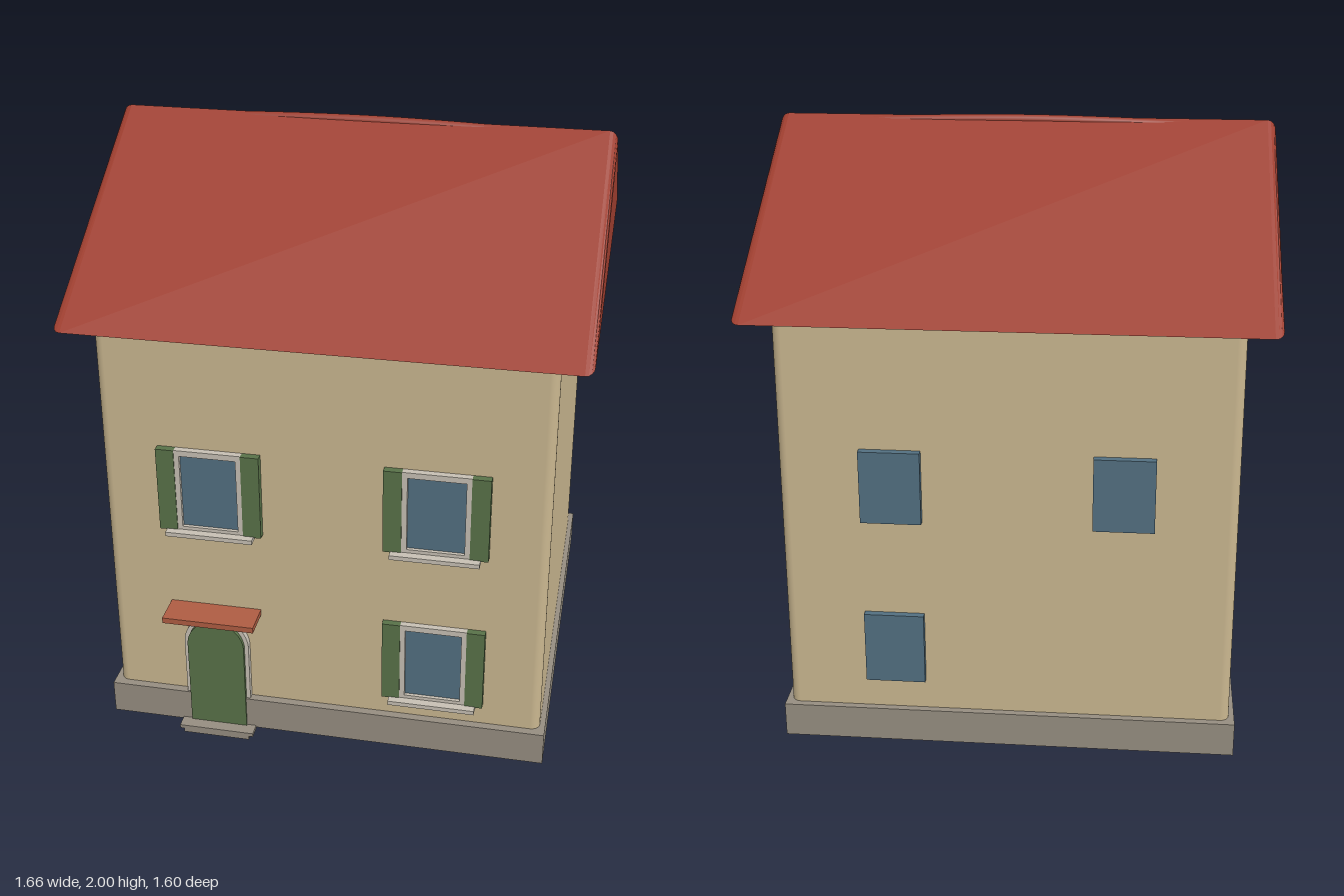
import * as THREE from 'three';
import { RoundedBoxGeometry } from 'three/addons/geometries/RoundedBoxGeometry.js';

const paint = (color) => new THREE.MeshStandardMaterial({ color });
const MAT = {
  wall: paint(0xc9b68f), roof: paint(0x9e3e2f), stone: paint(0x958d80), trim: paint(0xc6bfb3),
  green: paint(0x587148), glass: paint(0x526f80), canopy: paint(0xae5c42),
};

function add(parent, name, geometry, material, x = 0, y = 0, z = 0) {
  const mesh = new THREE.Mesh(geometry, material);
  mesh.name = name;
  mesh.position.set(x, y, z);
  parent.add(mesh);
  return mesh;
}

// Box given by its minimum and maximum on each axis
function box(parent, name, material, [x0, x1], [y0, y1], [z0, z1]) {
  return add(parent, name, new THREE.BoxGeometry(x1 - x0, y1 - y0, z1 - z0), material,
    (x0 + x1) / 2, (y0 + y1) / 2, (z0 + z1) / 2);
}

function rect(path, x0, y0, x1, y1) {
  path.moveTo(x0, y0).lineTo(x1, y0).lineTo(x1, y1).lineTo(x0, y1).closePath();
  return path;
}

// Round-headed outline standing on y = y0
function arch(path, halfWidth, y0, top) {
  path.moveTo(-halfWidth, y0).lineTo(halfWidth, y0).lineTo(halfWidth, top - halfWidth);
  path.absarc(0, top - halfWidth, halfWidth, 0, Math.PI, false);
  path.closePath();
  return path;
}

const extrude = (shape, depth) =>
  new THREE.ExtrudeGeometry(shape, { depth, bevelEnabled: false, curveSegments: 16 });

// Front window with frame, glass, sill and a pair of shutters; origin at its bottom centre
function frontWindow(x, y) {
  const g = new THREE.Group();
  g.name = 'frontWindow';
  g.position.set(x, y, 0);
  const frame = rect(new THREE.Shape(), -0.11, 0, 0.11, 0.295);
  frame.holes.push(rect(new THREE.Path(), -0.093, 0.015, 0.093, 0.275));
  add(g, 'windowFrame', extrude(frame, 0.035), MAT.trim, 0, 0, 0.677);
  box(g, 'windowGlass', MAT.glass, [-0.1, 0.1], [0.008, 0.285], [0.675, 0.7]);
  box(g, 'windowSill', MAT.trim, [-0.145, 0.145], [-0.012, 0.003], [0.67, 0.74]);
  for (const s of [-1, 1]) {
    const shutter = box(g, 'shutter', MAT.green, [-0.03, 0.03], [0, 0.295], [0.68, 0.715]);
    shutter.position.x = s * 0.14;
  }
  return g;
}

export function createModel() {
  const house = new THREE.Group();
  house.name = 'house';

  // Walls: softened block that narrows slightly upward
  const walls = new RoundedBoxGeometry(1.464, 1.48, 1.4, 4, 0.03);
  const p = walls.attributes.position;
  for (let i = 0; i < p.count; i++) {
    const k = 1 - 0.006 * (p.getY(i) / 1.48 + 0.5);
    p.setXYZ(i, p.getX(i) * k, p.getY(i), p.getZ(i) * k);
  }
  add(house, 'walls', walls, MAT.wall, 0, 0.762, -0.008);

  // Plinth: band around the foot of the walls
  const band = rect(new THREE.Shape(), -0.75, -0.725, 0.75, 0.725);
  band.holes.push(rect(new THREE.Path(), -0.715, -0.685, 0.715, 0.685));
  const plinth = add(house, 'plinth', extrude(band, 0.117), MAT.stone, 0, 0.02, -0.006);
  plinth.geometry.rotateX(-Math.PI / 2);

  // Roof: gabled prism along x with softened ends
  const gable = new THREE.Shape();
  gable.moveTo(-0.787, 1.495).lineTo(0.787, 1.495).lineTo(0, 1.993).closePath();
  const roof = new THREE.ExtrudeGeometry(gable, {
    depth: 1.6, bevelThickness: 0.028, bevelSize: 0.03, bevelOffset: -0.03, bevelSegments: 4,
  });
  roof.translate(0, 0, -0.8).rotateY(Math.PI / 2);
  add(house, 'roof', roof, MAT.roof, 0, 0, -0.012);

  // Ridge cap: slightly arched rod that fades into the ridge
  const ridge = new THREE.CatmullRomCurve3([
    new THREE.Vector3(-0.75, 1.965, -0.014),
    new THREE.Vector3(0, 1.983, -0.014),
    new THREE.Vector3(0.75, 1.965, -0.014),
  ]);
  add(house, 'ridgeCap', new THREE.TubeGeometry(ridge, 24, 0.017, 12), MAT.roof);

  // Windows at the front
  for (const [x, y] of [[-0.37, 0.79], [0.37, 0.79], [0.37, 0.215]]) house.add(frontWindow(x, y));

  // Plain windows at the back
  for (const [x, y] of [[-0.37, 0.82], [0.37, 0.82], [0.37, 0.245]]) {
    box(house, 'backWindow', MAT.glass, [x - 0.098, x + 0.098], [y, y + 0.245], [-0.73, -0.69]);
  }

  // Arched door with surround, canopy and doorstep
  const door = new THREE.Group();
  door.name = 'door';
  door.position.x = -0.37;
  const surround = arch(new THREE.Shape(), 0.112, 0.025, 0.457);
  surround.holes.push(arch(new THREE.Path(), 0.094, 0.026, 0.439));
  add(door, 'doorFrame', extrude(surround, 0.037), MAT.trim, 0, 0, 0.675);
  add(door, 'doorPanel', extrude(arch(new THREE.Shape(), 0.098, 0.024, 0.443), 0.05), MAT.green, 0, 0, 0.675);
  box(door, 'canopy', MAT.canopy, [-0.155, 0.155], [0.475, 0.495], [0.675, 0.8]);
  box(door, 'doorstep', MAT.stone, [-0.115, 0.115], [0, 0.018], [0.675, 0.765]);
  box(door, 'doorstepTop', MAT.stone, [-0.13, 0.13], [0.014, 0.027], [0.675, 0.765]);
  house.add(door);

  return house;
}
